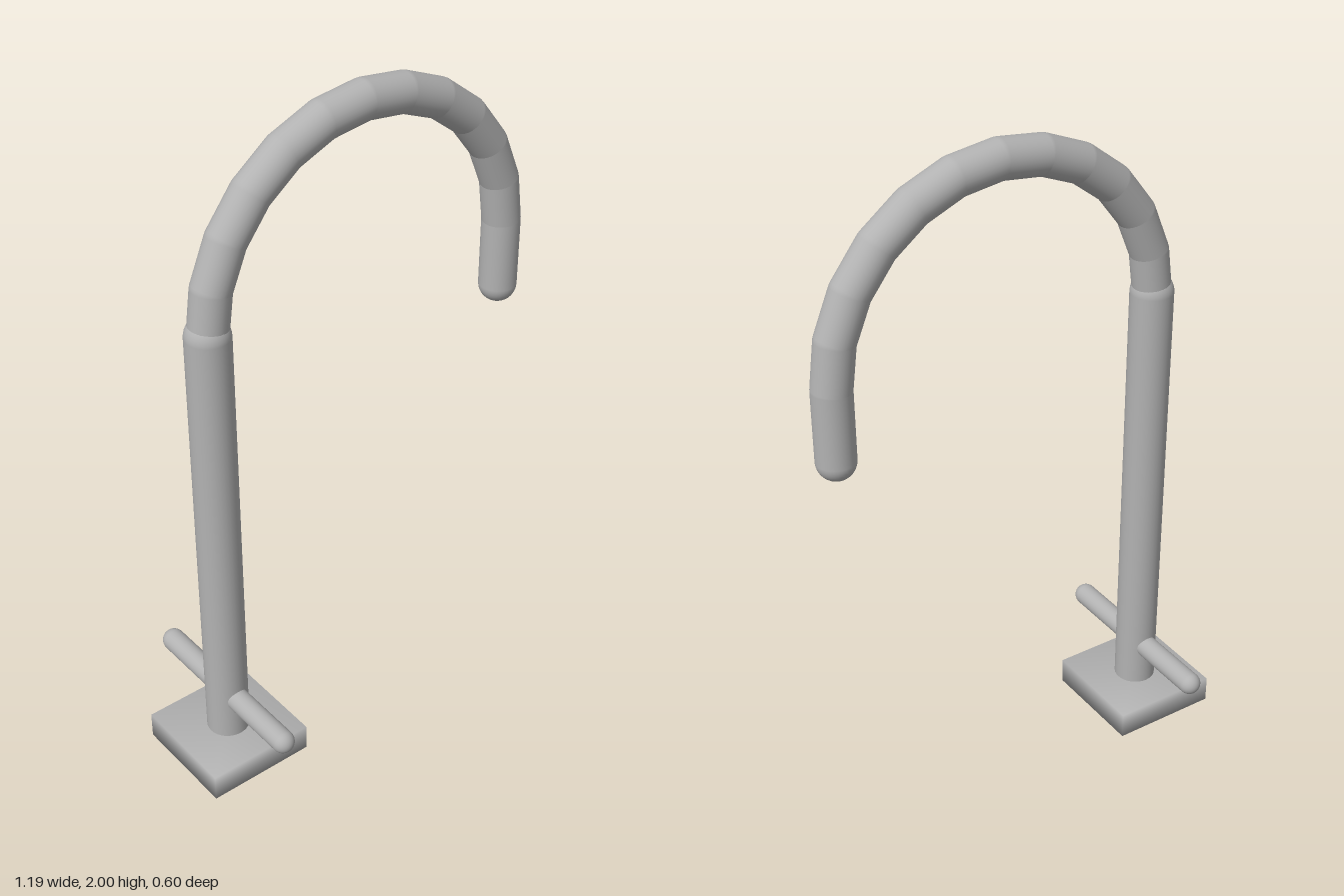
import * as THREE from 'three';
import { mergeVertices } from 'three/addons/utils/BufferGeometryUtils.js';

export function createModel() {
  const group = new THREE.Group();
  const metal = new THREE.MeshStandardMaterial({ color: 0xb2b2b2 });
  metal.name = 'brushed metal';

  const POST_X = -0.44;
  const UP = new THREE.Vector3(0, 1, 0);

  // Round-ended rod whose hemispherical caps are centred on a and b
  function rod(name, a, b, radius, parent = group) {
    const dir = b.clone().sub(a);
    const mesh = new THREE.Mesh(new THREE.CapsuleGeometry(radius, dir.length(), 10, 32), metal);
    mesh.name = name;
    mesh.position.copy(a).add(b).multiplyScalar(0.5);
    mesh.quaternion.setFromUnitVectors(UP, dir.normalize());
    parent.add(mesh);
    return mesh;
  }
  const v = (x, y, z = 0) => new THREE.Vector3(x, y, z);

  // Square base plate with soft, shared corner normals
  let plate = new THREE.BoxGeometry(0.32, 0.08, 0.32);
  plate.deleteAttribute('normal');
  plate.deleteAttribute('uv');
  plate = mergeVertices(plate);
  plate.computeVertexNormals();
  const base = new THREE.Mesh(plate, metal);
  base.name = 'basePlate';
  base.position.set(POST_X, 0.11, 0);
  group.add(base);

  // Upright post and the cross handle through it
  rod('post', v(POST_X, 0.061), v(POST_X, 1.456), 0.061);
  rod('handle', v(POST_X, 0.277, -0.265), v(POST_X, 0.277, 0.265), 0.033);

  // Arched neck of straight round-ended segments
  const neck = new THREE.Group();
  neck.name = 'neck';
  group.add(neck);
  const SEGMENTS = 12, ARC = 0.49, TUBE = 0.054, CY = 1.456;
  const onArc = (i) => {
    const t = Math.PI * (1 - i / SEGMENTS);
    return v(0.05 + ARC * Math.cos(t), CY + ARC * Math.sin(t));
  };
  for (let i = 0; i < SEGMENTS; i++) {
    rod('neckSegment', onArc(i), onArc(i + 1), TUBE, neck);
  }

  // Downward spout
  rod('spout', v(0.54, CY), v(0.54, 1.253), TUBE);

  return group;
}
